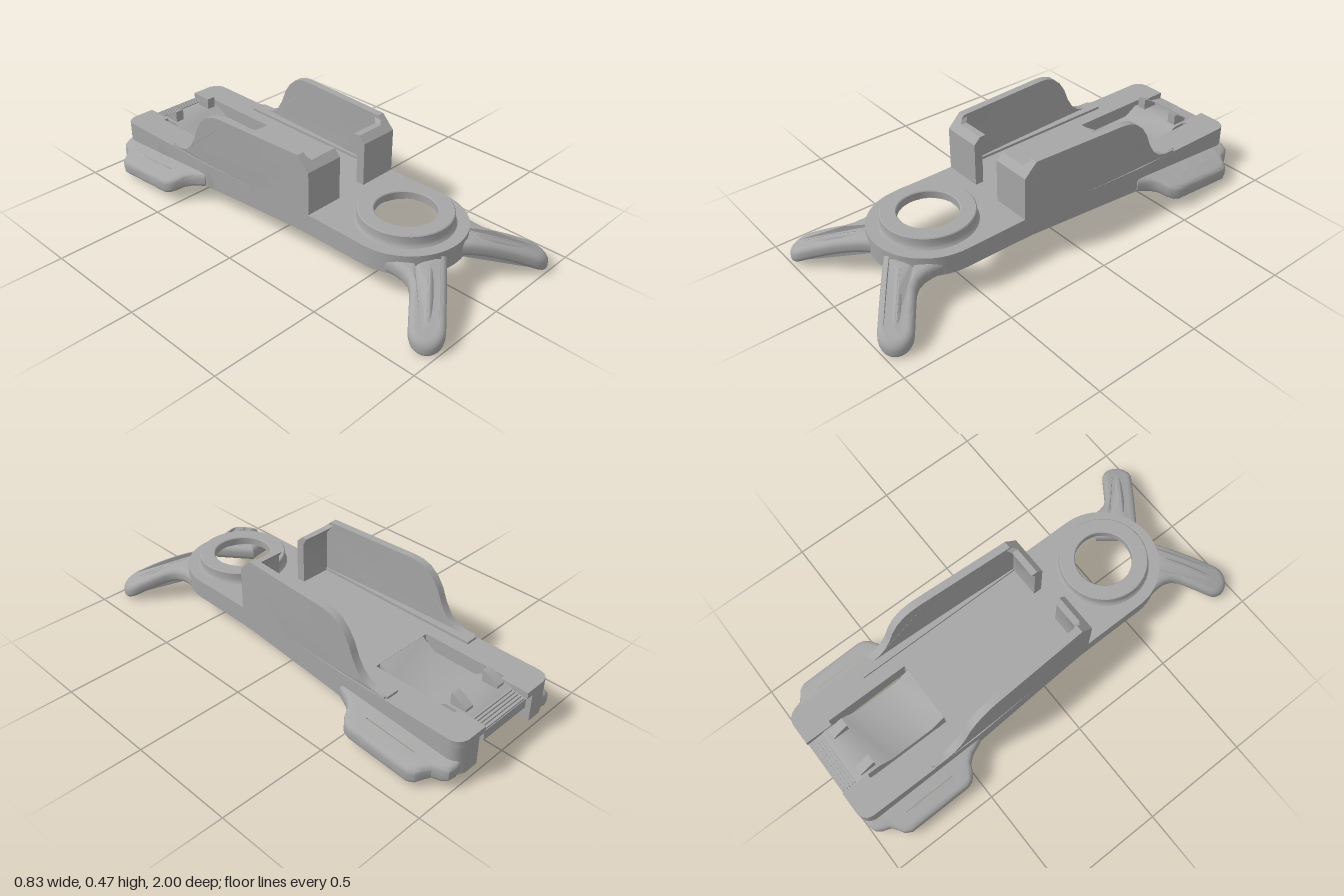
import * as THREE from 'three';
import { toCreasedNormals } from 'three/addons/utils/BufferGeometryUtils.js';

const RING_Z = 0.53;

// Split long edges of a closed polygon so it can be bent
function dense(points, step = 0.04) {
  const out = [];
  points.forEach(([ax, ay], i) => {
    const [bx, by] = points[(i + 1) % points.length];
    const n = Math.max(1, Math.ceil(Math.hypot(bx - ax, by - ay) / step));
    for (let k = 0; k < n; k++) out.push([ax + (bx - ax) * k / n, ay + (by - ay) * k / n]);
  });
  return out;
}

// Points along an arc, angles in degrees
function arc(cx, cy, r, from, to, n) {
  return Array.from({ length: n + 1 }, (_, i) => {
    const a = (from + (to - from) * i / n) * Math.PI / 180;
    return [cx + r * Math.cos(a), cy + r * Math.sin(a)];
  });
}

const toVectors = (pts, flip) => pts.map(([a, b]) => new THREE.Vector2(flip ? a : -a, flip ? -b : b));

// Move every vertex by a rule
function warp(geo, rule) {
  const p = geo.attributes.position, v = new THREE.Vector3();
  for (let i = 0; i < p.count; i++) {
    rule(v.fromBufferAttribute(p, i));
    p.setXYZ(i, v.x, v.y, v.z);
  }
  return geo;
}

// Plan outline [x, z] raised from y = 0 to y = height
function plan(points, holes, height, bevel = 0) {
  const shape = new THREE.Shape(toVectors(points, true));
  shape.holes = holes.map(h => new THREE.Path(toVectors(h, true)));
  const geo = new THREE.ExtrudeGeometry(shape, {
    depth: height - 2 * bevel, bevelEnabled: bevel > 0, bevelThickness: bevel,
    bevelSize: bevel, bevelOffset: -bevel, bevelSegments: 4
  });
  return geo.translate(0, 0, bevel).rotateX(-Math.PI / 2);
}

// Side profile [z, y] spread from x0 to x1
function across(points, x0, x1) {
  const geo = new THREE.ExtrudeGeometry(new THREE.Shape(toVectors(points, false)),
    { depth: x1 - x0, bevelEnabled: false });
  return geo.rotateY(Math.PI / 2).translate(x0, 0, 0);
}

// Mirrored copy across x = 0 with the corner order restored
function mirrored(geo) {
  const src = geo.index ? geo.toNonIndexed() : geo;
  const p = src.attributes.position, out = new Float32Array(p.count * 3);
  for (let i = 0; i < p.count; i++) {
    const j = i - (i % 3) + (2 - (i % 3));
    out.set([-p.getX(j), p.getY(j), p.getZ(j)], i * 3);
  }
  return new THREE.BufferGeometry().setAttribute('position', new THREE.BufferAttribute(out, 3));
}

export function createModel() {
  const model = new THREE.Group();
  model.name = 'strapOnHolder';
  const grey = new THREE.MeshStandardMaterial({ color: 0xa6a6a6 });
  grey.name = 'plasticGrey';

  const add = (name, geo) => {
    const mesh = new THREE.Mesh(toCreasedNormals(geo, 0.6), grey);
    mesh.name = name;
    model.add(mesh);
  };
  const addPair = (name, geo) => {
    add(name + 'Right', mirrored(geo));
    add(name + 'Left', geo);
  };

  // Base: lower layer with curved underside, upper layer around the clip
  const outer = [[0.24, -1], [0.265, -0.992], [0.283, -0.975], [0.29, -0.95], [0.29, -0.4],
    [0.26, 0.19], ...arc(0, RING_Z, 0.26, 0, 90, 20)];
  const outline = inner => {
    const half = [...inner, ...outer];
    const other = half.slice(0, -1).reverse().map(([x, z]) => [-x, z]);
    return dense([...half, ...other]);
  };
  const pocket = arc(0, RING_Z, 0.2, 0, 350, 35);
  const screws = [[0.163, -0.33], [-0.163, -0.33], [0.163, 0.03], [-0.163, 0.03]]
    .map(([x, z]) => arc(x, z, 0.018, 0, 330, 11));
  const underside = z => 0.13 - 0.027 * Math.max(0, 0.65 - z) ** 2;
  add('baseLower', warp(plan(outline([[0.17, -0.47], [0.17, -1]]), [pocket, ...screws], 1),
    v => { v.y = v.y > 0.5 ? 0.19 : underside(v.z); }));
  add('baseUpper', plan(outline([[0.157, -0.47], [0.157, -0.87], [0.135, -0.87], [0.135, -1]]),
    [pocket], 0.03).translate(0, 0.19, 0));

  // Raised ring with a hexagonal collar inside
  const ring = [[0.2, 0.215], [0.212, 0.218], [0.204, 0.227], [0.2, 0.238], [0.2, 0.268], [0.196, 0.272],
    [0.134, 0.272], [0.13, 0.268], [0.13, 0.234], [0.2, 0.234], [0.2, 0.215]];
  add('ring', new THREE.LatheGeometry(ring.map(p => new THREE.Vector2(...p)), 64).translate(0, 0, RING_Z));
  add('hexCollar', plan(arc(0, RING_Z, 0.201, 0, 350, 35),
    [arc(0, RING_Z, 0.146, 0, 300, 5)], 0.05).translate(0, 0.186, 0));

  // Side walls follow the tapering edge of the base
  const edge = z => 0.29 - 0.03 * THREE.MathUtils.clamp((z + 0.4) / 0.59, 0, 1);
  const wall = dense([[0.23, 0.2], [0.23, 0.42], [0.17, 0.48], [-0.29, 0.48], [-0.33, 0.475], [-0.37, 0.46],
    [-0.41, 0.425], [-0.44, 0.38], [-0.465, 0.32], [-0.495, 0.272], [-0.53, 0.243], [-0.57, 0.232],
    [-0.63, 0.23], [-0.63, 0.2]], 0.06);
  addPair('sideWall', warp(across(wall, 0, 1), v => { v.x = edge(v.z) - (v.x > 0.5 ? 0 : 0.035); }));
  addPair('ledge', warp(across([[0.2, 0.21], [0.2, 0.232], [-0.4, 0.232], [-0.64, 0.232], [-0.64, 0.21],
    [-0.4, 0.21]], 0, 1), v => { v.x = v.x > 0.5 ? edge(v.z) - 0.01 : 0.22; }));

  // Front walls with a sloped top and a raised outer corner
  addPair('frontWall', across([[0.23, 0.2], [0.23, 0.42], [0.2, 0.45], [0.17, 0.45],
    [0.19, 0.42], [0.19, 0.2]], 0.075, 0.21));
  const corner = [[0.23, 0.2], [0.23, 0.42], [0.2, 0.45], [0.17, 0.48], [0.14, 0.48],
    [0.17, 0.45], [0.19, 0.42], [0.19, 0.2]];
  addPair('frontWallRise', warp(across(corner, 0.21, 0.24), v => {
    if (v.y > 0.46 && v.x < 0.22) { v.z += 0.03; v.y = 0.45; }
  }));
  addPair('frontWallCorner', across(corner, 0.24, 0.257));

  // Springy clip tongue, grip ribs and hooks
  add('clipTongue', across([[-0.45, 0.219], [-0.47, 0.219], [-0.54, 0.175], [-0.75, 0.175], [-0.81, 0.212],
    [-0.91, 0.212], [-0.93, 0.2], [-0.995, 0.19], [-0.995, 0.145], [-0.92, 0.145], [-0.8, 0.135],
    [-0.45, 0.135]], -0.134, 0.134));
  for (let i = 0; i < 5; i++) {
    add('gripRib' + (i + 1), new THREE.BoxGeometry(0.25, 0.014, 0.008)
      .translate(0, 0.2 - i * 0.0023, -0.93 - i * 0.0145));
  }
  addPair('clipHook', across([[-0.82, 0.2], [-0.82, 0.265], [-0.835, 0.262], [-0.895, 0.225],
    [-0.895, 0.2]], 0.078, 0.12));

  // Strap ears, sloping down and outwards
  const ear = [[0.2, -0.99], [0.29, -0.995], [0.32, -0.985], [0.337, -0.96], [0.348, -0.925], [0.375, -0.905],
    [0.4, -0.89], [0.415, -0.86], [0.415, -0.56], [0.405, -0.53], [0.38, -0.508], [0.345, -0.49],
    [0.32, -0.46], [0.295, -0.4], [0.2, -0.4]];
  const earSlot = [...arc(0.343, -0.588, 0.022, 0, 180, 8), ...arc(0.343, -0.835, 0.022, 180, 360, 8)];
  addPair('strapEar', warp(plan(dense(ear), [dense(earSlot)], 0.07, 0.02), v => {
    v.y += 0.055 - 0.3 * (v.x - 0.35) + 0.07 * (v.z + 0.7);
  }));

  // Front legs: slotted arms bent downwards along their length
  const leg = [[-0.06, 0.07], [-0.06, -0.12], [0.045, -0.17], [0.065, -0.135], [0.09, -0.103], [0.12, -0.08],
    [0.157, -0.07], ...arc(0.31, 0, 0.07, -90, 90, 14)];
  const legSlot = [...arc(0.315, 0, 0.021, -90, 90, 8), ...arc(0.06, 0, 0.021, 90, 270, 8)];
  const angle = Math.atan2(0.18, 0.228), c = Math.cos(angle), s = Math.sin(angle);
  addPair('frontLeg', warp(plan(dense(leg, 0.02), [dense(legSlot, 0.02)], 0.07, 0.025), v => {
    const u = v.x, w = v.z;
    v.y += 0.13 - 0.13 * (Math.max(0, u) / 0.38) ** 1.5;
    v.x = 0.1 + u * c - w * s;
    v.z = 0.735 + u * s + w * c;
  }));

  return model;
}
